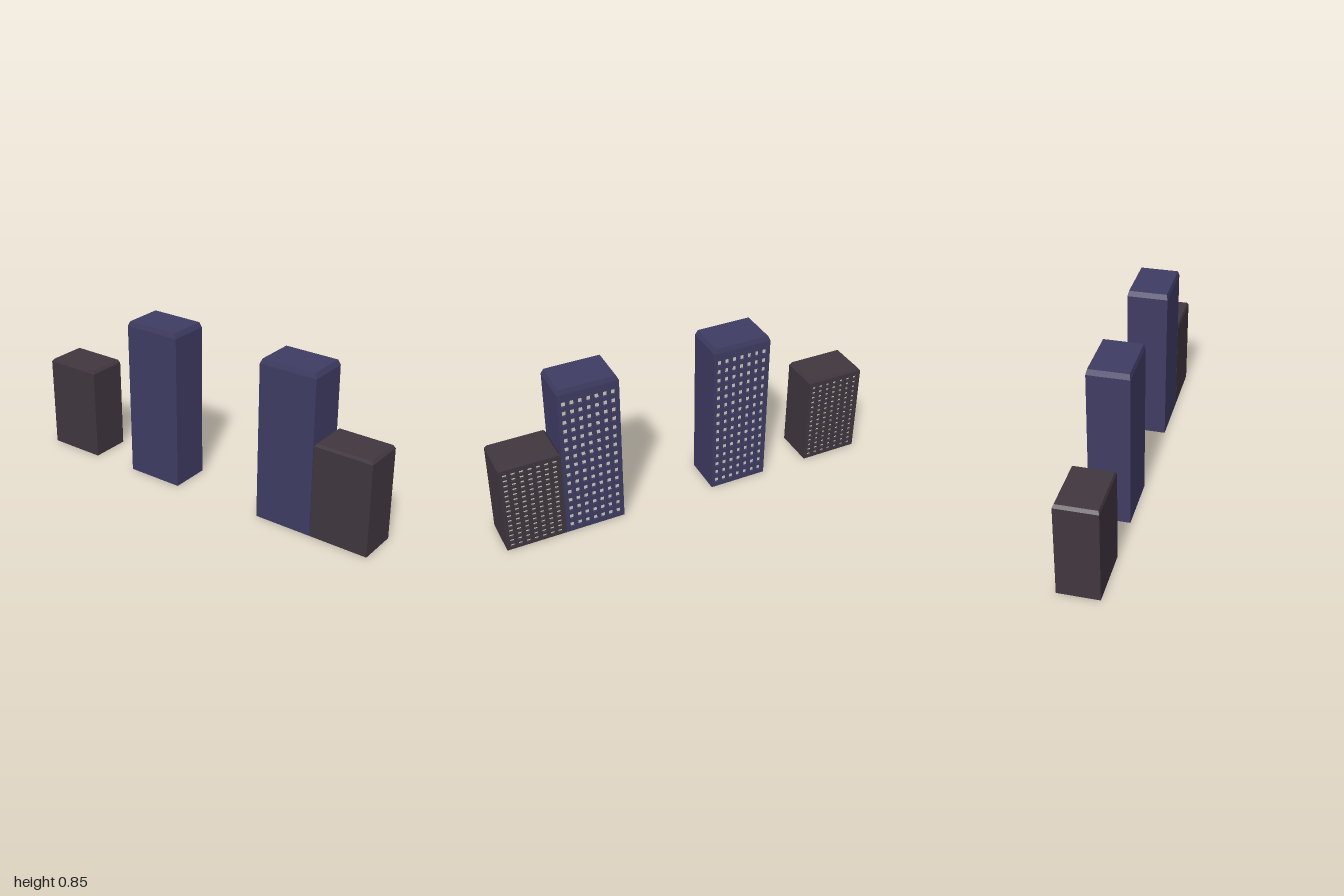
import * as THREE from 'three';

const WIDTH = 0.212, LENGTH = 0.31, HEIGHT = 0.85;
const CAP = 0.026, RECESS = 0.012;
const WALL = HEIGHT - CAP;
const COLS = 7, ROWS = 15, COL_STEP = 0.0415, ROW_STEP = 0.0519, FIRST_ROW = 0.04;
const WIN_W = 0.022, WIN_H = 0.028;

function rectangle(path, x0, y0, x1, y1) {
  path.moveTo(x0, y0);
  path.lineTo(x1, y0);
  path.lineTo(x1, y1);
  path.lineTo(x0, y1);
  path.closePath();
  return path;
}

// Wall slab pierced by a regular grid of windows, facing +x
function facadeGeometry() {
  const shape = rectangle(new THREE.Shape(), -LENGTH / 2, 0, LENGTH / 2, WALL);
  for (let r = 0; r < ROWS; r++) {
    for (let c = 0; c < COLS; c++) {
      const u = (c - (COLS - 1) / 2) * COL_STEP;
      const v = FIRST_ROW + r * ROW_STEP;
      shape.holes.push(rectangle(new THREE.Path(),
        u - WIN_W / 2, v - WIN_H / 2, u + WIN_W / 2, v + WIN_H / 2));
    }
  }
  const geometry = new THREE.ExtrudeGeometry(shape, { depth: RECESS, bevelEnabled: false });
  return geometry.rotateY(Math.PI / 2).translate(WIDTH / 2 - RECESS, 0, 0);
}

// Roof block whose top edges lean inward
function roofGeometry() {
  const geometry = new THREE.BoxGeometry(WIDTH, CAP, LENGTH).toNonIndexed();
  const p = geometry.attributes.position;
  for (let i = 0; i < p.count; i++) {
    if (p.getY(i) > 0) {
      p.setX(i, p.getX(i) - Math.sign(p.getX(i)) * 0.006);
      p.setZ(i, p.getZ(i) - Math.sign(p.getZ(i)) * 0.012);
    }
  }
  geometry.translate(0, WALL + CAP / 2, 0);
  geometry.computeVertexNormals();
  return geometry;
}

export function createModel() {
  const model = new THREE.Group();
  model.name = 'towerRow';

  const coreWidth = WIDTH - RECESS;
  const core = new THREE.BoxGeometry(coreWidth, WALL, LENGTH)
    .translate(-RECESS / 2, WALL / 2, 0);
  // Light sheet just behind the window openings
  const panes = new THREE.PlaneGeometry(LENGTH - 0.02, WALL - 0.02)
    .rotateY(Math.PI / 2)
    .translate(WIDTH / 2 - RECESS + 0.001, WALL / 2, 0);
  const facade = facadeGeometry();
  const roof = roofGeometry();

  const paint = (color) => new THREE.MeshStandardMaterial({ color, flatShading: true });
  const blue = paint(0x3f3c63), brown = paint(0x40363f), glass = paint(0xccc8c0);

  function addTower(name, z, height, material) {
    const tower = new THREE.Group();
    tower.name = name;
    const parts = [
      ['towerCore', core, material],
      ['windowWall', facade, material],
      ['windowPanes', panes, glass],
      ['roof', roof, material],
    ];
    for (const [partName, geometry, partMaterial] of parts) {
      const mesh = new THREE.Mesh(geometry, partMaterial);
      mesh.name = partName;
      tower.add(mesh);
    }
    tower.position.z = z;
    tower.scale.y = height / HEIGHT;
    model.add(tower);
  }

  addTower('frontShortTower', 0.845, 0.503, brown);
  addTower('frontTallTower', 0.531, HEIGHT, blue);
  addTower('backTallTower', -0.28, HEIGHT, blue);
  addTower('backShortTower', -0.845, 0.503, brown);
  return model;
}
